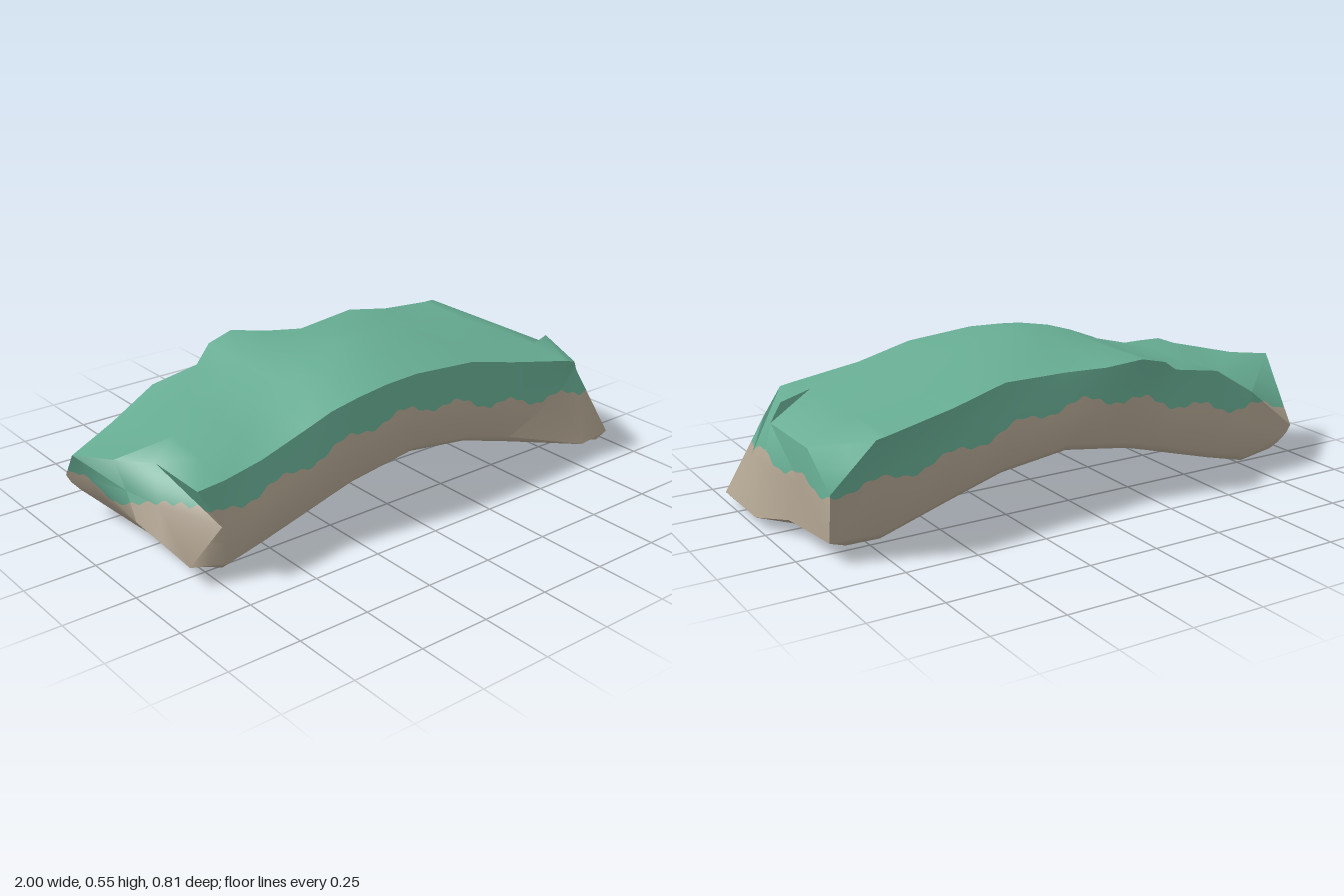
import * as THREE from 'three';
import { toCreasedNormals } from 'three/addons/utils/BufferGeometryUtils.js';

const moss = new THREE.MeshStandardMaterial({ color: 0x66ab92 });
moss.name = 'moss green';
const stone = new THREE.MeshStandardMaterial({ color: 0xb0a390 });
stone.name = 'warm stone';

const mid = (a, b) => a.map((v, i) => (v + b[i]) / 2);

// Cross-section of the arch: five top points (back to front), widest side points,
// a chamfer row above the underside, and five underside points.
function section([x, yBack, zBack, yPeak, yFront, zFront, yLow, zSide, toe]) {
  const top = [
    [x, yBack, zBack], [x, (yBack + yPeak) / 2 - 0.008, -0.15], [x, yPeak, 0.05],
    [x, (yPeak + yFront) / 2 + 0.005, 0.2], [x, yFront, zFront],
  ];
  const lip = [-zSide, -0.15, 0, 0.15, zSide].map((z) => [x, yLow + 0.028, z]);
  if (toe) lip[4] = toe;
  const low = [-0.305, -0.15, 0, 0.15, 0.305].map((z) => [x, yLow, z]);
  const sides = [
    [x, (yBack + yLow) / 2 + 0.02, -zSide], [x, (yFront + yLow) / 2 + 0.02, zSide - 0.005],
  ];
  return { top, sides, lip, low };
}

// Broken right end (-x); core points lie in the middle of the broken face
const rightEnd = {
  top: [[-0.9, 0.15, -0.362], [-1, 0.35, -0.1], [-0.91, 0.345, 0], [-0.82, 0.345, 0.1], [-0.82, 0.34, 0.34]],
  sides: [[-0.885, 0.12, -0.357], [-0.735, 0.19, 0.335]],
  core: [[-0.94, 0.245, -0.12], [-0.905, 0.26, 0.06], [-0.85, 0.23, 0.16]],
  lip: [[-0.86, 0.09, -0.347], [-0.88, 0.14, -0.14], [-0.91, 0.175, 0.12], [-0.875, 0.125, 0.21], [-0.837, 0.07, 0.305]],
  low: [[-0.83, 0.065, -0.335], [-0.77, 0.01, -0.14], [-0.77, 0.02, 0], [-0.78, 0.04, 0.15], [-0.8, 0.06, 0.3]],
};

// Broken left end (+x)
const leftEnd = {
  top: [[0.79, 0.4, -0.41], [0.92, 0.335, -0.19], [0.92, 0.335, 0.11], [0.87, 0.39, 0.14], [0.78, 0.375, 0.37]],
  sides: [[0.918, 0.23, -0.345], [0.87, 0.3, 0.303]],
  core: [[0.925, 0.2, -0.13], [0.955, 0.2, 0.1], [0.95, 0.2, 0.22]],
  lip: [[0.92, 0.07, -0.33], [0.94, 0.06, -0.06], [1, 0.035, 0.08], [1, 0.035, 0.22], [1, 0.035, 0.36]],
  low: [[0.85, 0.035, -0.29], [0.88, 0.035, -0.08], [0.93, 0.01, 0.09], [0.96, 0.004, 0.2], [0.97, 0, 0.34]],
};

// x, back edge y and z, crown y, front edge y and z, underside y, half width, optional toe
const span = [
  [-0.72, 0.3, -0.348, 0.39, 0.345, 0.335, 0.03, 0.337],
  [-0.56, 0.4, -0.34, 0.405, 0.355, 0.305, 0.07, 0.335],
  [-0.38, 0.43, -0.338, 0.435, 0.42, 0.315, 0.12, 0.335],
  [-0.3, 0.478, -0.38, 0.475, 0.455, 0.325, 0.143, 0.335],
  [-0.2, 0.503, -0.387, 0.515, 0.48, 0.335, 0.17, 0.335],
  [-0.08, 0.483, -0.35, 0.546, 0.495, 0.335, 0.188, 0.335],
  [0.05, 0.475, -0.305, 0.55, 0.5, 0.335, 0.207, 0.335],
  [0.3, 0.485, -0.335, 0.505, 0.48, 0.335, 0.175, 0.335],
  [0.5, 0.44, -0.36, 0.445, 0.43, 0.335, 0.115, 0.335],
  [0.74, 0.405, -0.4, 0.408, 0.385, 0.362, 0.04, 0.335, [0.82, 0.045, 0.4]],
].map(section);

// Height of the ragged moss line
function mossLine(x, z) {
  const arch = 0.225 + 0.15 * Math.exp(-((x / 0.5) ** 2));
  const waves = 0.016 * Math.cos(x * 25) - 0.018 * Math.cos(z * 23);
  return arch + waves + 0.005 * Math.sin(x * 95 + z * 70);
}

// Rock surface: skin along the span plus a cap on each end
function rockSurface() {
  const tris = [];
  const quad = (a, b, c, d) => tris.push(a, b, c, b, d, c);
  const sections = [rightEnd, ...span, leftEnd];
  const rings = sections.map((s) => [
    ...s.top, s.sides[1], s.lip[4], ...[...s.low].reverse(), s.lip[0], s.sides[0],
  ]);
  for (let i = 0; i < rings.length - 1; i++) {
    const p = rings[i], q = rings[i + 1], n = p.length;
    for (let j = 0; j < n; j++) quad(p[j], p[(j + 1) % n], q[j], q[(j + 1) % n]);
  }
  [rightEnd, leftEnd].forEach((s, e) => {
    const rows = [s.top, [s.sides[0], ...s.core, s.sides[1]], s.lip, s.low];
    for (let r = 0; r < 3; r++) for (let k = 0; k < 4; k++) {
      const [a, b, c, d] = [rows[r][k], rows[r][k + 1], rows[r + 1][k], rows[r + 1][k + 1]];
      if (e) quad(a, b, c, d);
      else quad(b, a, d, c);
    }
  });
  const g = new THREE.BufferGeometry();
  g.setAttribute('position', new THREE.Float32BufferAttribute(tris.flat(), 3));
  return toCreasedNormals(g, 1);
}

// Cut the surface along the moss line; vertices are [x, y, z, nx, ny, nz]
function splitByMoss(surface) {
  const upper = [], lower = [];
  const above = (v) => v[1] - mossLine(v[0], v[2]);
  const emit = (list, poly) => {
    for (let i = 1; i < poly.length - 1; i++) list.push(poly[0], poly[i], poly[i + 1]);
  };
  const clip = (tri, sign) => {
    const out = [];
    tri.forEach((v, i) => {
      const w = tri[(i + 1) % 3], dv = above(v) * sign, dw = above(w) * sign;
      if (dv >= 0) out.push(v);
      if (dv * dw < 0) out.push(v.map((c, k) => c + (w[k] - c) * dv / (dv - dw)));
    });
    return out;
  };
  const cut = (tri, depth) => {
    const d = tri.map(above);
    if (Math.min(...d) > 0.08) return emit(upper, tri);
    if (Math.max(...d) < -0.08) return emit(lower, tri);
    if (depth === 0) {
      emit(upper, clip(tri, 1));
      emit(lower, clip(tri, -1));
      return;
    }
    const [a, b, c] = tri, ab = mid(a, b), bc = mid(b, c), ca = mid(c, a);
    [[a, ab, ca], [ab, b, bc], [ca, bc, c], [ab, bc, ca]].forEach((t) => cut(t, depth - 1));
  };
  const p = surface.attributes.position, n = surface.attributes.normal;
  const vert = (i) => [p.getX(i), p.getY(i), p.getZ(i), n.getX(i), n.getY(i), n.getZ(i)];
  for (let i = 0; i < p.count; i += 3) cut([vert(i), vert(i + 1), vert(i + 2)], 4);
  return [upper, lower];
}

function part(name, verts, material) {
  const g = new THREE.BufferGeometry();
  g.setAttribute('position', new THREE.Float32BufferAttribute(verts.flatMap((v) => v.slice(0, 3)), 3));
  g.setAttribute('normal', new THREE.Float32BufferAttribute(verts.flatMap((v) => v.slice(3)), 3));
  const mesh = new THREE.Mesh(g, material);
  mesh.name = name;
  return mesh;
}

export function createModel() {
  const group = new THREE.Group();
  group.name = 'rockArch';
  const [upper, lower] = splitByMoss(rockSurface());
  group.add(part('mossyTop', upper, moss), part('stoneBase', lower, stone));
  return group;
}
